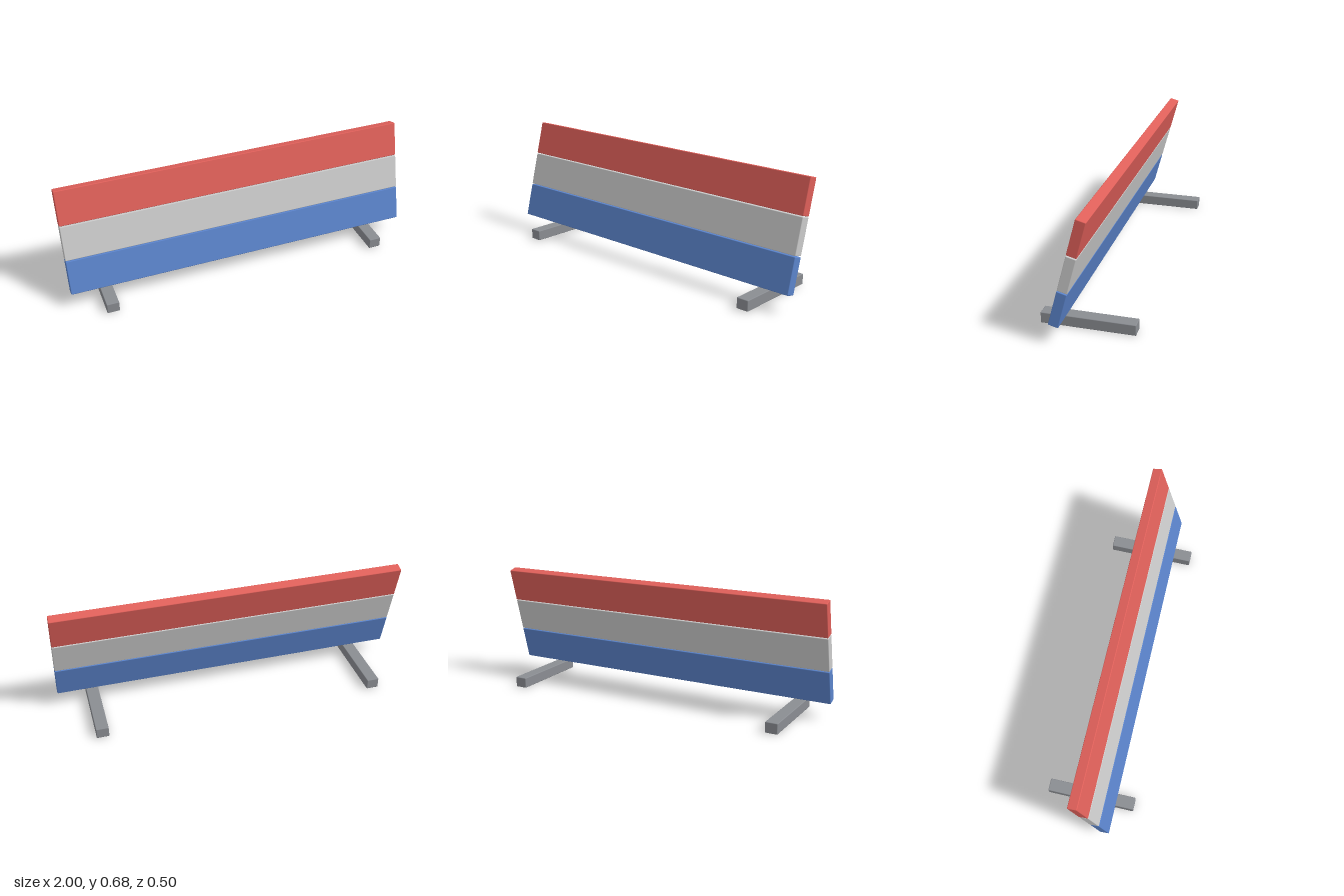
import * as THREE from 'three';
import { RoundedBoxGeometry } from 'three/addons/geometries/RoundedBoxGeometry.js';

const LEAN = THREE.MathUtils.degToRad(15);
const PITCH = 0.2; // spacing of the planks along the leaning panel

function bar(name, size, color) {
  const mesh = new THREE.Mesh(
    new RoundedBoxGeometry(...size, 2, 0.004),
    new THREE.MeshStandardMaterial({ color })
  );
  mesh.name = name;
  return mesh;
}

export function createModel() {
  const model = new THREE.Group();
  model.name = 'barrier';

  // leaning panel of three planks, bottom to top
  const panel = new THREE.Group();
  panel.name = 'panel';
  panel.position.set(0, 0.382, 0.045);
  panel.rotation.x = -LEAN;
  const planks = [
    ['lowerPlank', 0x5b84cc],
    ['middlePlank', 0xcccccc],
    ['upperPlank', 0xe0605a],
  ];
  planks.forEach(([name, color], i) => {
    const plank = bar(name, [2, 0.196, 0.054], color);
    plank.position.y = (i - 1) * PITCH;
    panel.add(plank);
  });
  model.add(panel);

  // feet on the ground, running front to back
  for (const side of [-1, 1]) {
    const foot = bar(side > 0 ? 'leftFoot' : 'rightFoot', [0.07, 0.06, 0.498], 0x8a8d92);
    foot.position.set(side * 0.8, 0.03, 0);
    model.add(foot);
  }
  return model;
}
